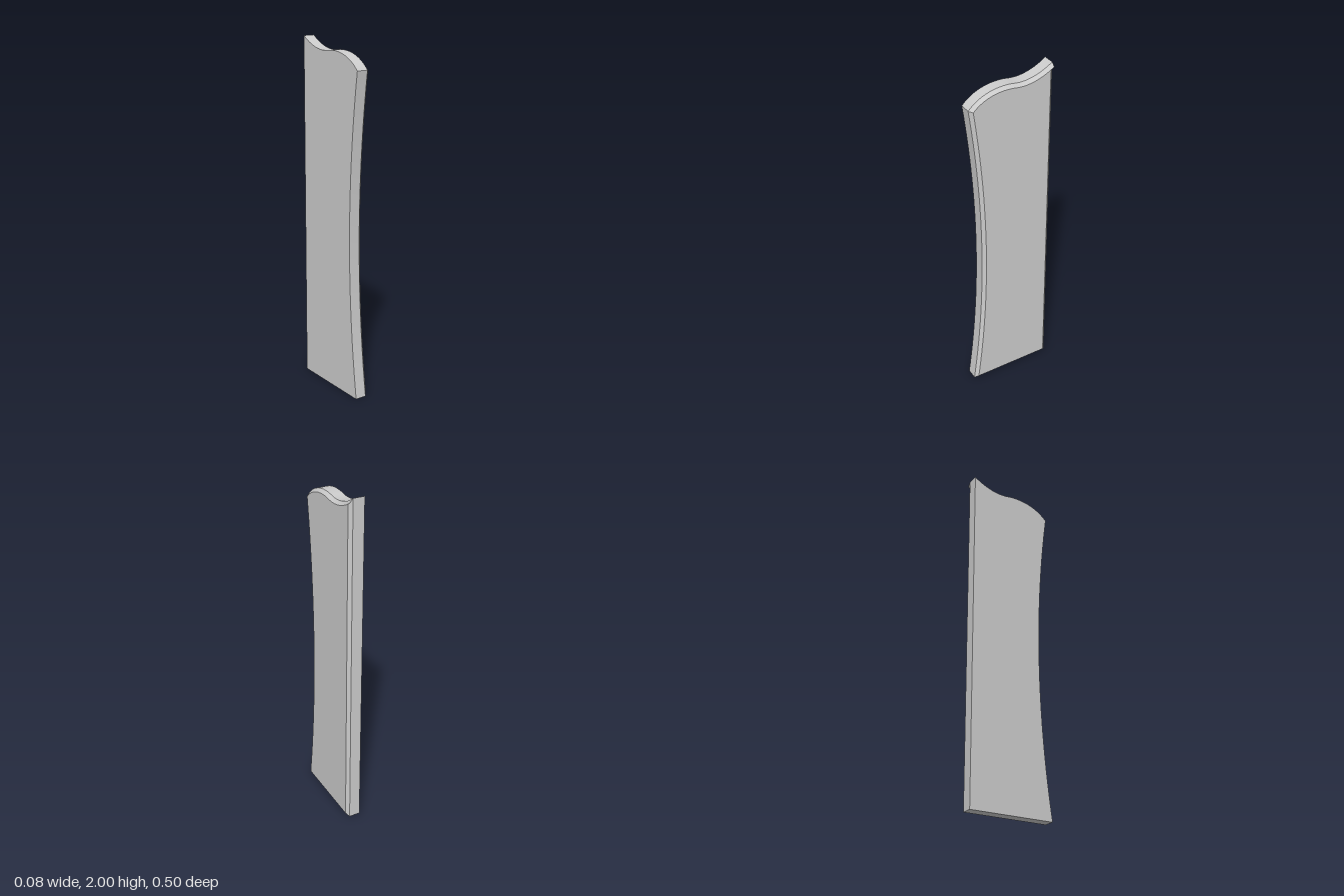
import * as THREE from 'three';
import { toCreasedNormals } from 'three/addons/utils/BufferGeometryUtils.js';

// Move every corner of a counter-clockwise outline inwards by d (mitred).
function inset(points, d) {
  const n = points.length;
  const normal = (a, b) => new THREE.Vector2(a.y - b.y, b.x - a.x).normalize();
  return points.map((p, i) => {
    const n1 = normal(points[(i + n - 1) % n], p);
    const n2 = normal(p, points[(i + 1) % n]);
    return n1.clone().add(n2).multiplyScalar(d / (1 + n1.dot(n2))).add(p);
  });
}

// Solid through a stack of matching outlines, each { points, depth }.
function loftSolid(layers) {
  const positions = [];
  const put = (layer, i) => positions.push(layer.points[i].x, layer.points[i].y, layer.depth);
  const n = layers[0].points.length;
  for (let k = 0; k < layers.length - 1; k++) {
    const a = layers[k], b = layers[k + 1];
    for (let i = 0; i < n; i++) {
      const j = (i + 1) % n;
      put(a, i); put(a, j); put(b, j);
      put(a, i); put(b, j); put(b, i);
    }
  }
  const bottom = layers[0], top = layers[layers.length - 1];
  for (const [a, b, c] of THREE.ShapeUtils.triangulateShape(top.points, [])) {
    put(top, a); put(top, b); put(top, c);
  }
  for (const [a, b, c] of THREE.ShapeUtils.triangulateShape(bottom.points, [])) {
    put(bottom, a); put(bottom, c); put(bottom, b);
  }
  const geometry = new THREE.BufferGeometry();
  geometry.setAttribute('position', new THREE.Float32BufferAttribute(positions, 3));
  return toCreasedNormals(geometry, 0.4);
}

export function createModel() {
  const group = new THREE.Group();
  group.name = 'shapedPanel';

  // Side outline: straight foot and back, wavy top, hollow front edge
  const shape = new THREE.Shape();
  shape.moveTo(-0.25, 0);
  shape.lineTo(0.25, 0);
  shape.lineTo(0.25, 2);
  shape.bezierCurveTo(0.17, 1.945, 0.09, 1.93, 0.03, 1.939);
  shape.bezierCurveTo(-0.06, 1.954, -0.17, 1.935, -0.242, 1.857);
  shape.quadraticCurveTo(-0.114, 0.93, -0.25, 0);
  const outline = shape.getPoints(28);
  if (outline[0].distanceTo(outline[outline.length - 1]) < 1e-6) outline.pop();

  // Flat board with a chamfer around its left face only
  const geometry = loftSolid([
    { points: outline, depth: -0.042 },
    { points: outline, depth: 0.024 },
    { points: inset(outline, 0.018), depth: 0.042 },
  ]);
  geometry.rotateY(Math.PI / 2);

  const panel = new THREE.Mesh(geometry, new THREE.MeshStandardMaterial({ color: 0xcccccc }));
  panel.name = 'panel';
  group.add(panel);
  return group;
}
